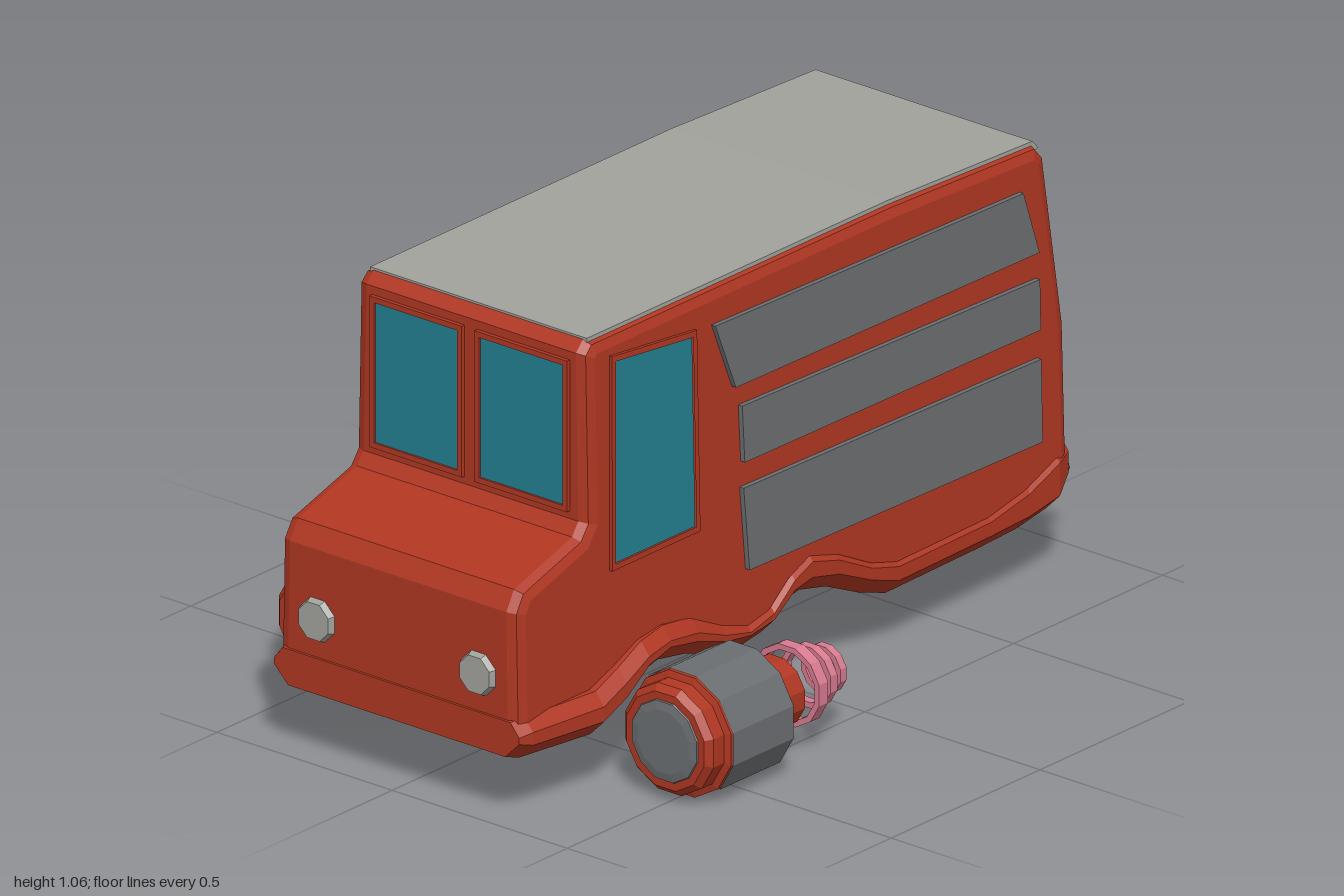
import * as THREE from 'three';

const mat = (name, color, extra = {}) => {
  const m = new THREE.MeshStandardMaterial({ color, flatShading: true, ...extra });
  m.name = name;
  return m;
};

// Extruded polygon in x/y, pushed along z
function extrude(pts, depth, hole, bevel = 0) {
  const v = (p) => p.map(([x, y]) => new THREE.Vector2(x, y));
  const shape = new THREE.Shape(v(pts));
  if (hole) shape.holes.push(new THREE.Path(v(hole)));
  return new THREE.ExtrudeGeometry(shape, {
    depth: depth - 2 * bevel, bevelEnabled: bevel > 0, bevelSize: bevel,
    bevelThickness: bevel, bevelOffset: -bevel, bevelSegments: 2,
  }).translate(0, 0, bevel);
}

// Extruded (z, y) profile between x0 and x1, narrowing slightly upward
function slab(pts, x0, x1, { hole, bevel } = {}) {
  const flip = (p) => p && p.map(([z, y]) => [-z, y]);
  const g = extrude(flip(pts), x1 - x0, flip(hole), bevel).rotateY(Math.PI / 2).translate(x0, 0, 0);
  const p = g.attributes.position;
  for (let i = 0; i < p.count; i++) p.setX(i, p.getX(i) * (1 + (0.6 - p.getY(i)) * 0.06));
  g.computeVertexNormals();
  return g;
}

const rect = (x0, x1, y0, y1) => [[x0, y0], [x1, y0], [x1, y1], [x0, y1]];

// Skirt stations from front to back: z, top y, bottom y, half width
const SKIRT = [
  [0.985, 0.25, 0.165, 0.35], [0.95, 0.255, 0.155, 0.36], [0.74, 0.255, 0.15, 0.385],
  [0.66, 0.285, 0.18, 0.382], [0.58, 0.32, 0.23, 0.378], [0.5, 0.33, 0.245, 0.372],
  [0.4, 0.315, 0.225, 0.366], [0.3, 0.275, 0.19, 0.36], [0.21, 0.252, 0.175, 0.355],
  [0.13, 0.27, 0.185, 0.353], [0.06, 0.325, 0.232, 0.352], [0, 0.35, 0.243, 0.352],
  [-0.09, 0.325, 0.222, 0.352], [-0.2, 0.27, 0.172, 0.352], [-0.29, 0.245, 0.142, 0.352],
  [-0.6, 0.25, 0.147, 0.352], [-0.73, 0.275, 0.152, 0.352], [-0.83, 0.315, 0.168, 0.352],
  [-0.885, 0.32, 0.2, 0.33],
];

function skirtGeometry() {
  const rings = SKIRT.map(([z, t, b, w]) => {
    const half = [[w - 0.04, b], [w, b + 0.04], [w, t - 0.03], [w - 0.025, t]];
    const other = half.map(([x, y]) => [-x, y]).reverse();
    return [...half, ...other].map(([x, y]) => [x, y, z]);
  });
  const out = [], n = 8;
  for (let i = 0; i + 1 < rings.length; i++) {
    for (let j = 0; j < n; j++) {
      const k = (j + 1) % n, a = rings[i][j], b = rings[i][k], c = rings[i + 1][k], d = rings[i + 1][j];
      out.push(...a, ...d, ...c, ...a, ...c, ...b);
    }
  }
  const first = rings[0], last = rings[rings.length - 1];
  for (let j = 1; j < n - 1; j++) {
    out.push(...first[0], ...first[j], ...first[j + 1], ...last[0], ...last[j + 1], ...last[j]);
  }
  const g = new THREE.BufferGeometry();
  g.setAttribute('position', new THREE.Float32BufferAttribute(out, 3));
  g.computeVertexNormals();
  return g;
}

// Twelve-sided solid of revolution around z, from (radius, z) points
const turned = (pts) =>
  new THREE.LatheGeometry(pts.map(([r, z]) => new THREE.Vector2(r, z)), 12)
    .rotateY(Math.PI / 12).rotateX(Math.PI / 2);

export function createModel() {
  const root = new THREE.Group();
  const red = mat('body red', 0xb03722);
  const roofGrey = mat('light grey', 0xa2a29d);
  const grey = mat('dark grey', 0x6b6e71);
  const teal = mat('window teal', 0x237f90);
  const lampRed = mat('lamp red', 0xdd0808);
  const pink = mat('ring pink', 0xd87a90, { side: THREE.DoubleSide });
  const add = (name, geo, material, parent = root) => {
    const m = new THREE.Mesh(geo, material);
    m.name = name;
    parent.add(m);
    return m;
  };
  const HW = 0.337;

  // Body shell and skirt
  const underside = SKIRT.slice(1, -1).map(([z, t]) => [z, t - 0.05]).reverse();
  add('body', slab([
    [0.98, 0.22], [0.98, 0.505], [0.953, 0.55], [0.757, 0.61], [0.735, 0.64], [0.735, 1.035],
    [0.71, 1.06], [-0.3, 1.06], [-0.785, 1.043], [-0.814, 1.01], [-0.872, 0.6], [-0.875, 0.26],
    ...underside,
  ], -HW, HW, { bevel: 0.03 }), red);
  add('skirt', skirtGeometry(), red);

  // Roof panel and rear stripe
  add('roof', slab([[0.71, 1.04], [0.71, 1.065], [-0.3, 1.065], [-0.787, 1.048], [-0.806, 1.028],
    [-0.78, 1.02]], -0.318, 0.318), roofGrey);
  add('rearStripe', slab([[-0.79, 1.046], [-0.819, 1.013], [-0.877, 0.6], [-0.88, 0.33],
    [-0.85, 0.33], [-0.84, 0.6], [-0.78, 1.01]], -0.13, 0.13), grey);

  // Windscreens
  for (const s of [-1, 1]) {
    const c = s * 0.15;
    add('windscreen', extrude(rect(c - 0.12, c + 0.12, 0.67, 1.003), 0.02).translate(0, 0, 0.72), teal);
    add('windscreenFrame', extrude(rect(c - 0.132, c + 0.132, 0.658, 1.015), 0.025,
      rect(c - 0.119, c + 0.119, 0.671, 1.002)).translate(0, 0, 0.72), red);
  }

  // Side windows and side panels
  const glass = [[0.645, 0.997], [0.385, 0.97], [0.385, 0.525], [0.655, 0.525]];
  const rim = [[0.657, 1.012], [0.372, 0.983], [0.372, 0.511], [0.668, 0.511]];
  const panels = [
    [[0.315, 0.975], [-0.72, 0.955], [-0.77, 0.8], [0.25, 0.81]],
    [[0.23, 0.76], [-0.77, 0.737], [-0.77, 0.618], [0.225, 0.626]],
    [[0.23, 0.567], [-0.77, 0.55], [-0.77, 0.355], [0.215, 0.37]],
  ];
  for (const s of [-1, 1]) {
    const plate = (name, pts, t, material, hole) => {
      const a = s * (HW - 0.012), b = s * (HW + t);
      add(name, slab(pts, Math.min(a, b), Math.max(a, b), { hole }), material);
    };
    plate('sideWindow', glass, 0.004, teal);
    plate('sideWindowFrame', rim, 0.008, red, glass);
    for (const p of panels) plate('sidePanel', p, 0.012, grey);
  }

  // Rear window with its frame
  const rearStrip = (y0, y1, t) => {
    const z = (y) => -0.872 + ((y - 0.6) * 0.058) / 0.41;
    return [[z(y0) - t, y0], [z(y1) - t, y1], [z(y1) + 0.02, y1], [z(y0) + 0.02, y0]];
  };
  add('rearWindowFrame', slab(rearStrip(0.722, 0.86, 0.008), -0.212, 0.212), red);
  add('rearWindow', slab(rearStrip(0.735, 0.847, 0.012), -0.2, 0.2), teal);

  // Number plate, left blank
  add('plateHolder', new THREE.BoxGeometry(0.18, 0.085, 0.02), grey).position.set(0, 0.4, -0.877);
  add('plate', new THREE.BoxGeometry(0.14, 0.05, 0.008), roofGrey).position.set(0, 0.4, -0.888);

  // Lamps and exhaust pipes
  for (const s of [-1, 1]) {
    const lamp = new THREE.CylinderGeometry(0.046, 0.062, 0.035, 8).rotateY(Math.PI / 8).rotateX(Math.PI / 2);
    add('headlight', lamp, roofGrey).position.set(s * 0.23, 0.34, 0.977);
    for (const x of [0.175, 0.265]) {
      const tail = new THREE.CylinderGeometry(0.036, 0.042, 0.025, 12).rotateX(-Math.PI / 2);
      add('tailLight', tail, lampRed).position.set(s * x, 0.4, -0.874);
    }
    const path = new THREE.CatmullRomCurve3([[0.155, -0.82], [0.155, -0.88], [0.18, -0.925], [0.188, -0.95]]
      .map(([y, z]) => new THREE.Vector3(s * 0.21, y, z)));
    add('exhaustPipe', new THREE.TubeGeometry(path, 8, 0.017, 8), grey);
    add('exhaustTip', new THREE.CylinderGeometry(0.018, 0.026, 0.07, 8).rotateX(Math.PI / 2), grey)
      .position.set(s * 0.21, 0.189, -0.965);
  }

  // Front thrusters with trailing rings
  for (const s of [-1, 1]) {
    const pod = new THREE.Group();
    pod.name = 'thruster';
    pod.position.set(s * 0.495, 0.15, 0);
    root.add(pod);
    add('thrusterShell', turned([[0, 0.29], [0.083, 0.29], [0.083, 0.39], [0.128, 0.39], [0.128, 0.4],
      [0.146, 0.4], [0.146, 0.61], [0.13, 0.615], [0.13, 0.65], [0.115, 0.665], [0, 0.665]]), red, pod);
    add('thrusterBand', turned([[0.149, 0.403], [0.149, 0.607]]), grey, pod);
    add('thrusterCap', turned([[0.1, 0.66], [0.095, 0.668], [0.075, 0.672], [0, 0.672]]), grey, pod);
    for (const [z, r, t] of [[0.242, 0.096, 0.03], [0.182, 0.074, 0.022], [0.132, 0.058, 0.02]]) {
      const a = z - t / 2, b = z + t / 2, q = r - 0.014;
      add('thrusterRing', turned([[q, a], [r, a], [r, b], [q, b], [q, a]]), pink, pod);
    }
  }
  return root;
}
